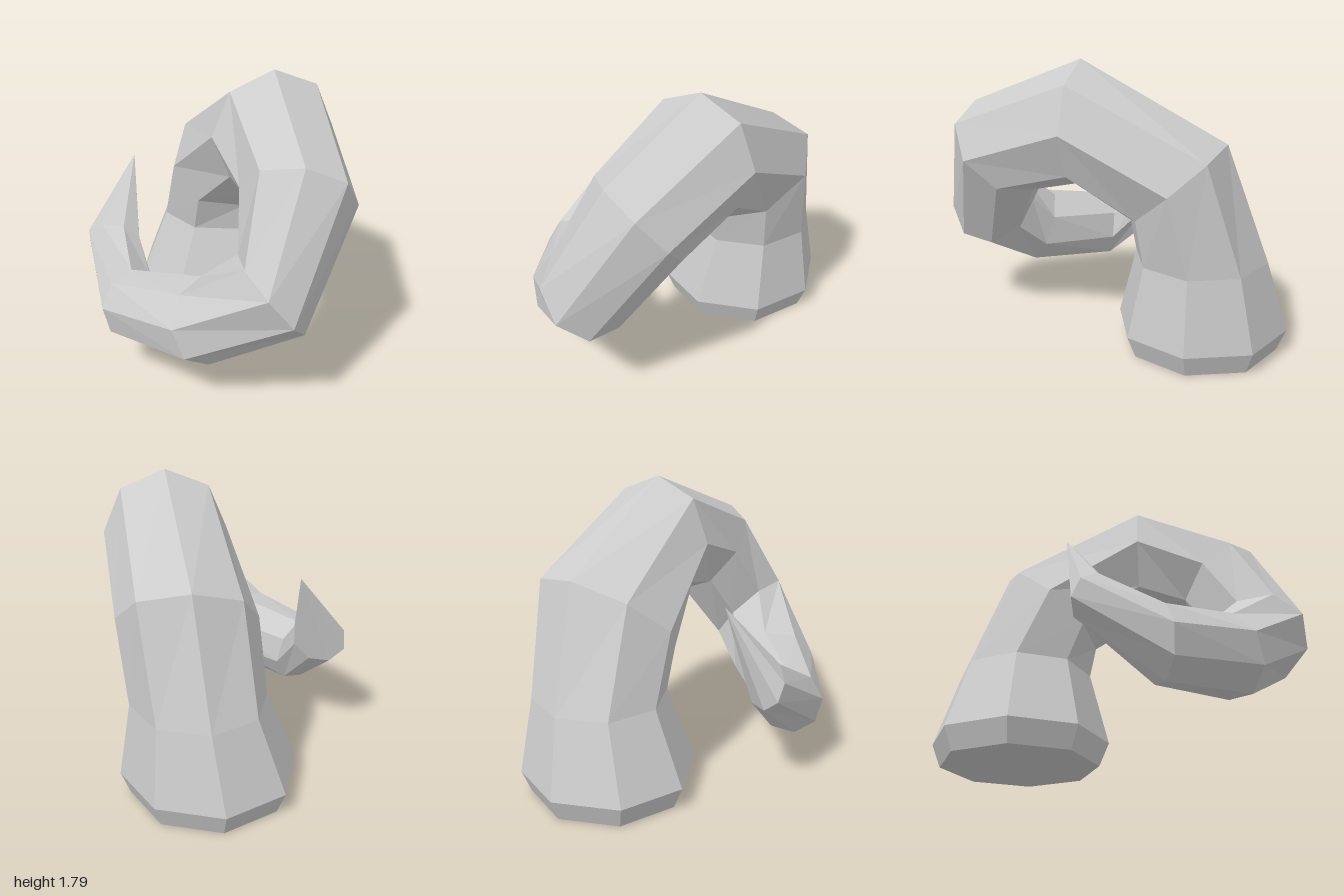
import * as THREE from 'three';

const SIDES = 8;

// Cross-sections from the base to the curled end:
// centre, vector to the outer corner, vector to the side corner.
const RINGS = [
  [[-0.375, 0, -0.46], [-0.34, 0, -0.34], [0.34, 0, -0.34]],
  [[-0.375, 0.14, -0.46], [-0.38, 0, -0.38], [0.38, 0, -0.38]],
  [[-0.33, 0.6, -0.5], [-0.29, 0, -0.29], [0.29, 0, -0.29]],
  [[-0.2, 1.06, -0.42], [-0.19, 0.27, -0.23], [0.28, 0.04, -0.325]],
  [[0.25, 1.41, -0.04], [0, 0.38, 0], [0.28, 0, -0.26]],
  [[0.593, 1.22, 0.37], [0.107, 0.26, 0.19], [0.31, -0.04, -0.12]],
  [[0.576, 0.75, 0.685], [0.094, 0.12, 0.255], [0.209, -0.198, 0.007]],
  [[0.19, 0.505, 0.747], [-0.075, 0.06, 0.248], [0.067, -0.23, 0.088]],
  [[-0.345, 0.44, 0.7], [-0.08, 0.045, 0.18], [0.005, -0.22, 0.035]],
  [[-0.61, 0.705, 0.447], [-0.17, -0.045, 0.023], [0.03, -0.13, -0.073]],
];
const TIP = [-0.593, 1.19, 0.195];

// Skins the rings, closes the base with a fan and the end with a point.
function curledTube(rings, tip) {
  const positions = [];
  const index = [];
  for (const [c, u, s] of rings) {
    for (let j = 0; j < SIDES; j++) {
      const a = (j / SIDES) * Math.PI * 2;
      for (let k = 0; k < 3; k++) {
        positions.push(c[k] + u[k] * Math.cos(a) + s[k] * Math.sin(a));
      }
    }
  }
  const base = rings.length * SIDES;
  const end = base + 1;
  positions.push(...rings[0][0], ...tip);

  const last = rings.length - 1;
  for (let j = 0; j < SIDES; j++) {
    const n = (j + 1) % SIDES;
    index.push(base, j, n);
    for (let i = 0; i < last; i++) {
      const a = i * SIDES;
      const b = a + SIDES;
      index.push(a + j, b + j, a + n, a + n, b + j, b + n);
    }
    index.push(last * SIDES + j, end, last * SIDES + n);
  }
  const geometry = new THREE.BufferGeometry();
  geometry.setAttribute('position', new THREE.Float32BufferAttribute(positions, 3));
  geometry.setIndex(index);
  const faceted = geometry.toNonIndexed();
  faceted.computeVertexNormals();
  return faceted;
}

export function createModel() {
  const group = new THREE.Group();
  group.name = 'curledTentacle';
  const material = new THREE.MeshStandardMaterial({ color: 0xcccccc, flatShading: true });
  const tentacle = new THREE.Mesh(curledTube(RINGS, TIP), material);
  tentacle.name = 'tentacle';
  group.add(tentacle);
  return group;
}
